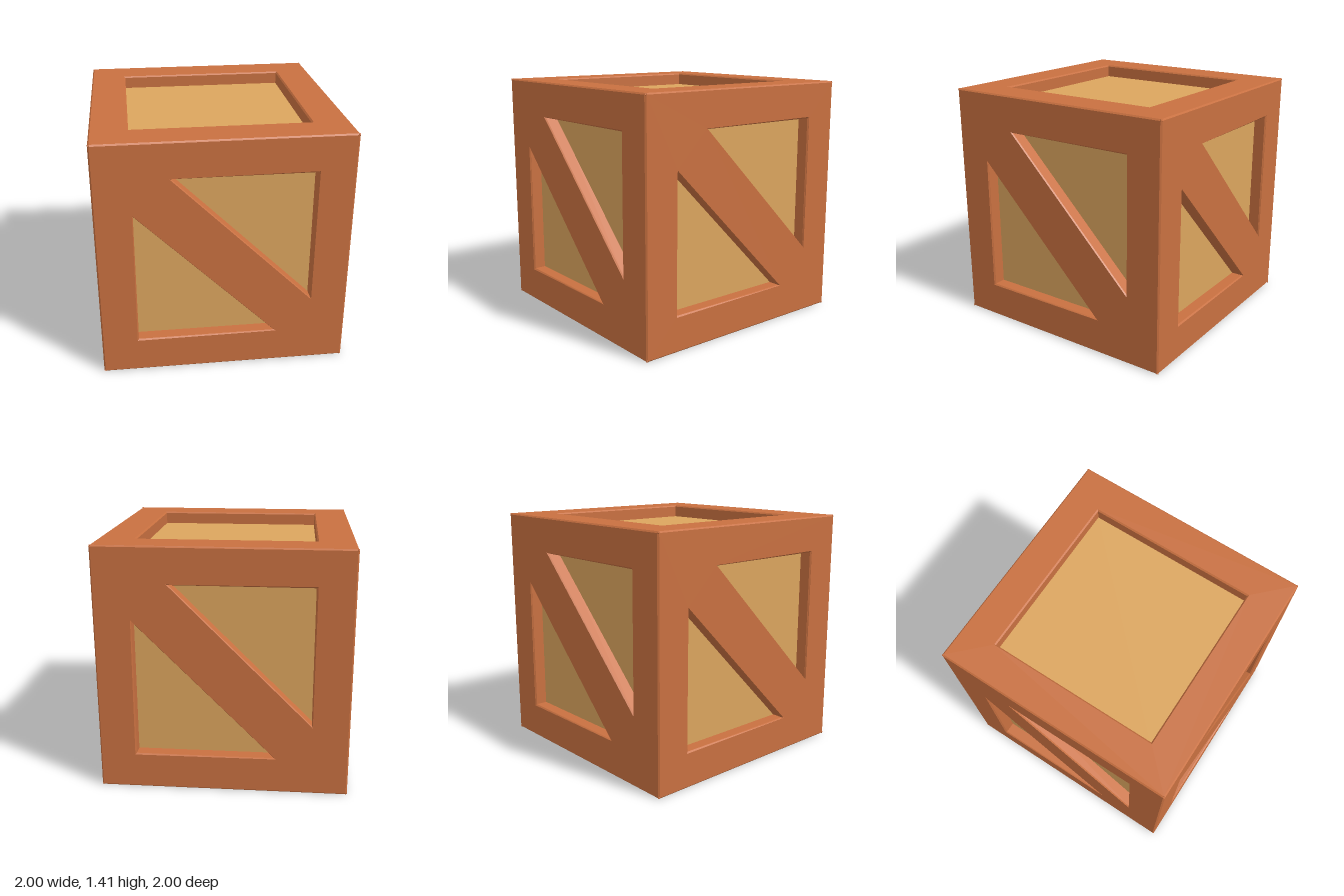
import * as THREE from 'three';

const H = Math.SQRT1_2;   // half the cube's side
const BEVEL = 0.008;      // chamfer on the frame edges
const THICK = 0.1;        // thickness of a frame plate
const RECESS = 0.075;     // how deep the panels sit

const toPoints = (list) => list.map(([x, y]) => new THREE.Vector2(x, y));

// One cube face: a chamfered square plate with cut-outs, mitred at the back
function framePlate(cutouts) {
  const shape = new THREE.Shape(toPoints([[-H, -H], [H, -H], [H, H], [-H, H]]));
  for (const hole of cutouts) shape.holes.push(new THREE.Path(toPoints(hole)));
  const depth = THICK - 2 * BEVEL;
  const geo = new THREE.ExtrudeGeometry(shape, {
    depth, bevelEnabled: true, bevelSegments: 1,
    bevelSize: BEVEL, bevelThickness: BEVEL, bevelOffset: -BEVEL,
  });
  geo.translate(0, 0, H - depth - BEVEL);
  const p = geo.attributes.position;
  for (let i = 0; i < p.count; i++) {
    const limit = p.getZ(i) + BEVEL;
    p.setX(i, THREE.MathUtils.clamp(p.getX(i), -limit, limit));
    p.setY(i, THREE.MathUtils.clamp(p.getY(i), -limit, limit));
  }
  geo.computeVertexNormals();
  return geo;
}

export function createModel() {
  const model = new THREE.Group();
  model.name = 'crate';
  const frameMat = new THREE.MeshStandardMaterial({ color: 0xc87040, flatShading: true });
  const panelMat = new THREE.MeshStandardMaterial({ color: 0xdba55e, flatShading: true });

  const crate = new THREE.Group();
  crate.name = 'crateBody';
  crate.position.y = H;
  crate.rotation.y = Math.PI / 4;
  model.add(crate);

  // Recessed panels: the faces of one inner box
  const inner = 2 * (H - RECESS);
  const panels = new THREE.Mesh(new THREE.BoxGeometry(inner, inner, inner), panelMat);
  panels.name = 'innerPanels';
  crate.add(panels);

  // Side frames with a diagonal brace between two triangular openings
  const a = 0.497, b = 0.29;
  const sideGeo = framePlate([
    [[-a, -a], [b, -a], [-a, b]],
    [[a, a], [-b, a], [a, -b]],
  ]);
  for (let i = 0; i < 4; i++) {
    const side = new THREE.Mesh(sideGeo, frameMat);
    side.name = `sideFrame${i + 1}`;
    side.rotation.y = i * Math.PI / 2;
    crate.add(side);
  }

  // Top and bottom frames with a square opening
  const capGeo = framePlate([[[-a, -a], [a, -a], [a, a], [-a, a]]]);
  for (const [name, sign] of [['topFrame', -1], ['bottomFrame', 1]]) {
    const cap = new THREE.Mesh(capGeo, frameMat);
    cap.name = name;
    cap.rotation.x = sign * Math.PI / 2;
    crate.add(cap);
  }
  return model;
}
